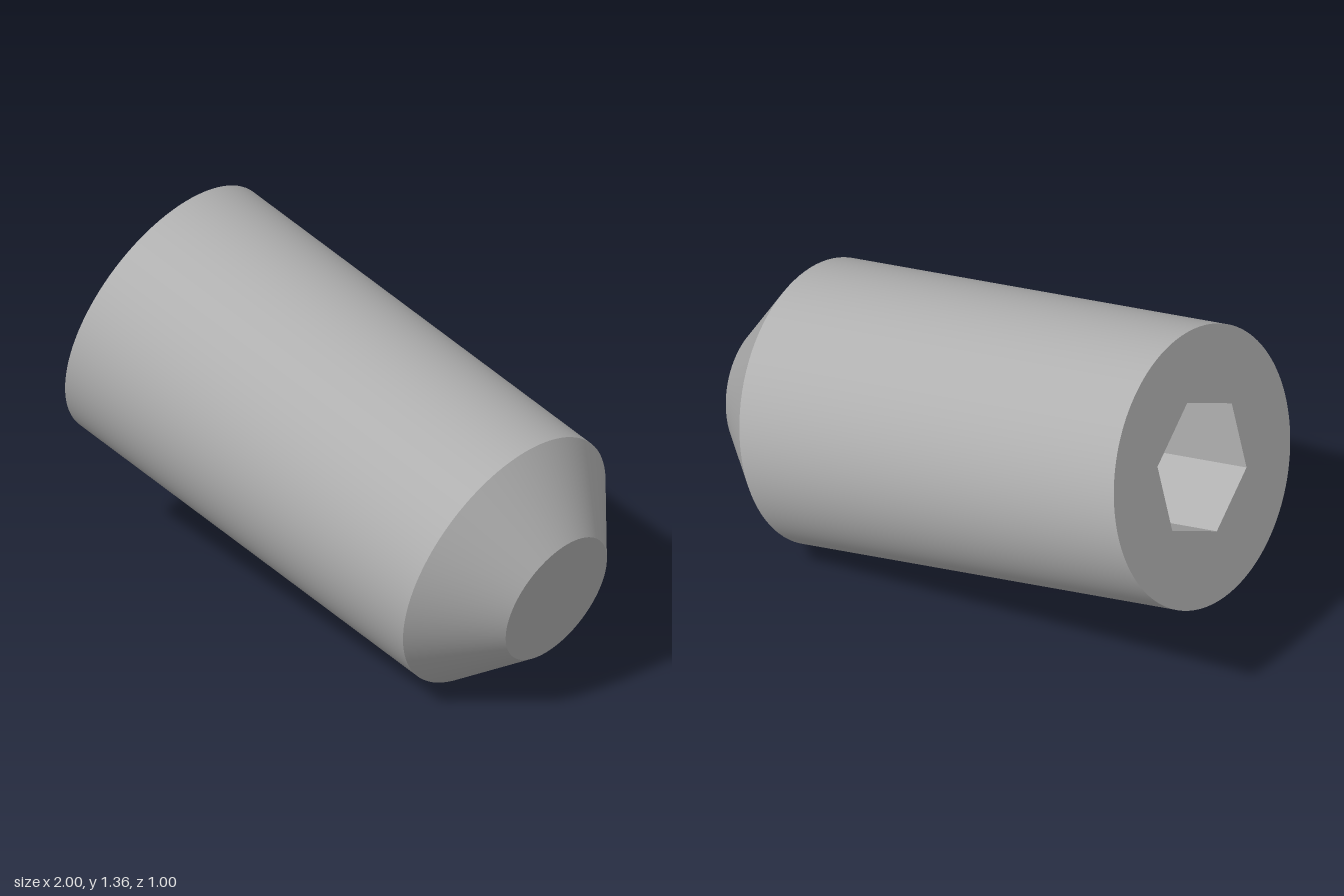
import * as THREE from 'three';

const R = 0.5;          // body radius
const TIP_R = 0.25;     // flat tip radius
const BODY = 1.623;     // cylindrical length
const TIP = 0.25;       // chamfered point length
const HEX = 0.257;      // socket corner radius
const DEPTH = 0.6;      // socket depth
const SEG = 96;

export function createModel() {
  const steel = new THREE.MeshStandardMaterial({ color: 0xb0b0b0 });
  steel.name = 'steel grey';

  // The screw is built along +y with its socket end at y = 0, then tilted.
  const screw = new THREE.Group();
  screw.name = 'setScrew';
  const add = (name, geometry, y = 0) => {
    const mesh = new THREE.Mesh(geometry, steel);
    mesh.name = name;
    mesh.position.y = y;
    screw.add(mesh);
  };

  // Shank, conical point and flat tip
  add('shank', new THREE.CylinderGeometry(R, R, BODY, SEG, 1, true), BODY / 2);
  add('conicalPoint', new THREE.CylinderGeometry(TIP_R, R, TIP, SEG, 1, true), BODY + TIP / 2);
  add('flatTip', new THREE.CircleGeometry(TIP_R, SEG).rotateX(-Math.PI / 2), BODY + TIP);

  // End face with a hexagonal opening
  const face = new THREE.Shape().absarc(0, 0, R, 0, Math.PI * 2);
  const corners = Array.from({ length: 6 }, (_, i) => {
    const a = (i * Math.PI) / 3;
    return new THREE.Vector2(HEX * Math.cos(a), HEX * Math.sin(a));
  });
  face.holes.push(new THREE.Path(corners));
  add('endFace', new THREE.ShapeGeometry(face, SEG).rotateX(Math.PI / 2));

  // Socket walls, mirrored so that they face inward, with flat normals
  const walls = new THREE.CylinderGeometry(HEX, HEX, DEPTH, 6, 1, true, Math.PI / 2)
    .toNonIndexed()
    .scale(-1, 1, 1);
  walls.computeVertexNormals();
  add('socketWalls', walls, DEPTH / 2);
  add('socketFloor', new THREE.CircleGeometry(HEX, 6).rotateX(Math.PI / 2), DEPTH);

  // Tilt the axis 14 degrees below horizontal
  screw.rotation.z = -THREE.MathUtils.degToRad(104);
  screw.position.set(-0.879, 0.878, 0);

  const model = new THREE.Group();
  model.name = 'model';
  model.add(screw);
  return model;
}
